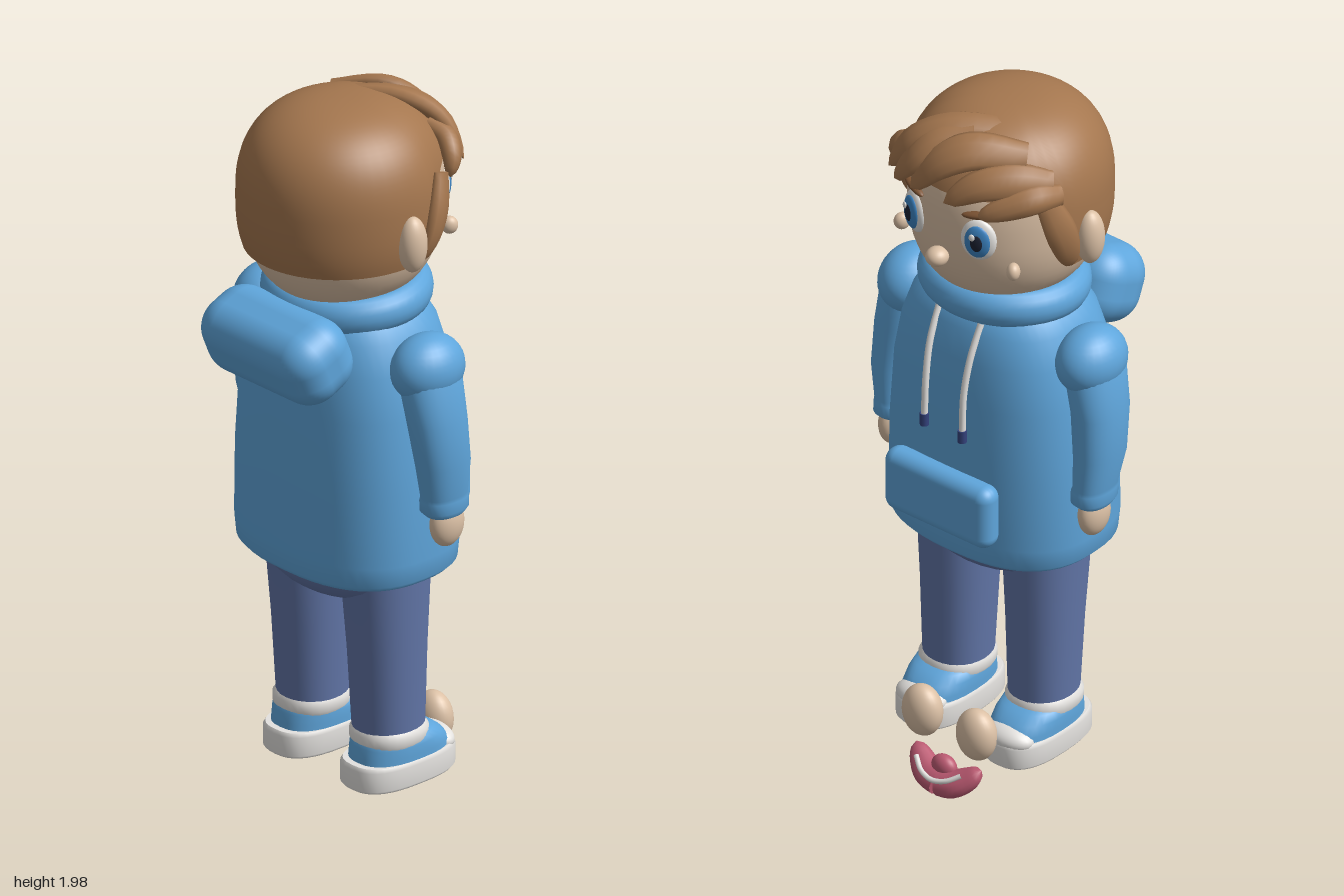
import * as THREE from 'three';
import { RoundedBoxGeometry } from 'three/addons/geometries/RoundedBoxGeometry.js';

const mat = (name, color) => Object.assign(new THREE.MeshStandardMaterial({ color }), { name });
const M = {
  hair: mat('hair brown', 0xa5774f), skin: mat('skin', 0xdcc1a6), blue: mat('hoodie blue', 0x5fa6dc),
  jeans: mat('jeans', 0x6276a8), white: mat('off white', 0xe4e2df), rose: mat('mouth rose', 0xbc5a72),
  navy: mat('navy', 0x34427c), iris: mat('iris blue', 0x3d86c6), dark: mat('pupil', 0x1c2233), brow: mat('brow brown', 0x7d5434),
};
const V = (x, y, z) => new THREE.Vector3(x, y, z);
const spow = (v, e) => Math.sign(v) * Math.abs(v) ** e;

// Closed rings of points joined into a skin with capped ends
function loft(rings) {
  const n = rings[0].length, pts = rings.flat(), idx = [];
  for (let i = 0; i < rings.length - 1; i++) for (let j = 0; j < n; j++) {
    const a = i * n + j, b = i * n + (j + 1) % n;
    idx.push(a, b, a + n, b, b + n, a + n);
  }
  [rings[0], rings[rings.length - 1]].forEach((ring, end) => {
    const base = pts.length, c = V(0, 0, 0);
    ring.forEach(p => c.addScaledVector(p, 1 / n));
    pts.push(c, ...ring);
    for (let j = 0; j < n; j++) {
      const a = base + 1 + j, b = base + 1 + (j + 1) % n;
      end ? idx.push(base, a, b) : idx.push(base, b, a);
    }
  });
  const g = new THREE.BufferGeometry().setFromPoints(pts);
  g.setIndex(idx);
  g.computeVertexNormals();
  return g;
}

// Stack of superellipse rows [y, rx, rz, cx, cz]
const stack = (rows, e = 2, n = 40) => loft(rows.map(([y, rx, rz, cx = 0, cz = 0]) =>
  Array.from({ length: n }, (_, j) => {
    const a = j / n * Math.PI * 2;
    return V(cx + rx * spow(Math.cos(a), 2 / e), y, cz - rz * spow(Math.sin(a), 2 / e));
  })));

// Tapered lock along a curve, lying flat against a body around the centre
function lock(points, width, thick, centre, start = 0.7, n = 10) {
  const curve = new THREE.CatmullRomCurve3(points.map(p => V(...p))), rings = [];
  for (let i = 0; i <= 14; i++) {
    const u = i / 14, p = curve.getPoint(u), t = curve.getTangent(u);
    const nrm = p.clone().sub(centre);
    nrm.addScaledVector(t, -nrm.dot(t)).normalize();
    const side = nrm.clone().cross(t);
    const k = Math.max(0.03, Math.sqrt(Math.max(0, 1 - u ** 3)) * (start + (1 - start) * Math.sin(Math.min(1, u * 2) * Math.PI / 2)));
    rings.push(Array.from({ length: n }, (_, j) => {
      const a = j / n * Math.PI * 2;
      return p.clone().addScaledVector(side, width * k * Math.cos(a)).addScaledVector(nrm, thick * k * Math.sin(a));
    }));
  }
  return loft(rings);
}

// Rounded head surface; low(a) gives the lower edge height at angle a
function headShell(rx, rz, cz, top, bottom, low) {
  const cy = 1.74, K = 26, n = 48, rings = [];
  for (let k = K; k >= 0; k--) rings.push(Array.from({ length: n }, (_, j) => {
    const a = j / n * Math.PI * 2;
    const h = low ? (low(a) - cy) / (low(a) > cy ? top - cy : cy - bottom) : -1;
    const phi = Math.max(0.01, k / K * Math.min(Math.PI - 0.01, Math.acos(spow(h, 1 / 0.8))));
    const c = Math.cos(phi), r = Math.sin(phi) ** 0.8;
    return V(rx * r * Math.cos(a), cy + spow(c, 0.8) * (c > 0 ? top - cy : cy - bottom), cz - rz * r * Math.sin(a));
  }));
  return loft(rings);
}

export function createModel() {
  const root = new THREE.Group();
  const add = (name, geo, m, pos = [0, 0, 0], rot = [0, 0, 0], parent = root) => {
    const mesh = new THREE.Mesh(geo, m);
    mesh.name = name;
    mesh.position.set(...pos);
    mesh.rotation.set(...rot);
    parent.add(mesh);
    return mesh;
  };
  const ball = (name, m, pos, r, rot, parent) =>
    add(name, new THREE.SphereGeometry(1, 28, 18), m, pos, rot, parent).scale.set(...r);

  // Head and hair cap, face towards -z
  add('head', headShell(0.25, 0.267, -0.017, 1.982, 1.45), M.skin);
  add('hairCap', headShell(0.265, 0.277, -0.012, 2.0, 1.45, a =>
    1.605 + 0.235 * THREE.MathUtils.smoothstep(Math.sin(a), 0.18, 0.55)), M.hair);

  // Fringe locks
  const hc = V(0, 1.74, 0);
  [
    [[[-0.1, 1.96, -0.08], [0.04, 1.965, -0.18], [0.13, 1.92, -0.235], [0.2, 1.82, -0.25]], 0.05, 0.028],
    [[[-0.16, 1.935, -0.13], [-0.05, 1.95, -0.215], [0.02, 1.91, -0.265], [0.09, 1.82, -0.295]], 0.055, 0.028],
    [[[-0.225, 1.87, -0.11], [-0.17, 1.89, -0.18], [-0.1, 1.88, -0.245], [-0.02, 1.82, -0.295]], 0.05, 0.026],
    [[[-0.02, 1.965, -0.17], [0.06, 1.945, -0.225], [0.1, 1.89, -0.27], [0.16, 1.81, -0.275]], 0.045, 0.026],
    [[[-0.245, 1.84, -0.1], [-0.22, 1.85, -0.17], [-0.17, 1.83, -0.225], [-0.11, 1.8, -0.27]], 0.04, 0.026],
    [[[0.12, 1.91, -0.2], [0.17, 1.885, -0.215], [0.21, 1.85, -0.2], [0.225, 1.8, -0.18]], 0.038, 0.03],
  ].forEach(([p, w, t]) => add('fringeLock', lock(p, w, t, hc), M.hair));

  for (const s of [1, -1]) {
    // Sideburns, ears and face details
    add('sideburn', lock([[s * 0.235, 1.83, -0.14], [s * 0.255, 1.75, -0.115], [s * 0.26, 1.68, -0.09], [s * 0.25, 1.61, -0.06]], 0.045, 0.022, hc), M.hair);
    ball('ear', M.skin, [s * 0.268, 1.68, -0.01], [0.037, 0.077, 0.04]);
    ball('cheekSpot', M.skin, [s * 0.185, 1.64, -0.215], [0.018, 0.024, 0.022], [0, -s * 0.6, 0]);
    const eye = new THREE.Group();
    eye.name = 'eye';
    eye.position.set(s * 0.105, 1.725, -0.256);
    eye.rotation.y = -s * 0.38;
    root.add(eye);
    ball('eyeWhite', M.white, [0, 0, 0], [0.048, 0.06, 0.02], [0, 0, 0], eye);
    ball('iris', M.iris, [0, 0, -0.012], [0.035, 0.047, 0.013], [0, 0, 0], eye);
    ball('pupil', M.dark, [0, 0, -0.02], [0.018, 0.026, 0.008], [0, 0, 0], eye);
    ball('eyeGlint', M.white, [0.011, 0.018, -0.026], [0.008, 0.01, 0.004], [0, 0, 0], eye);
    ball('eyebrow', M.brow, [0, 0.075, -0.004], [0.045, 0.01, 0.014], [0, 0, s * 0.12], eye);

    // Arms
    ball('shoulder', M.blue, [s * 0.295, 1.335, -0.037], [0.085, 0.092, 0.106]);
    add('sleeve', stack([
      [0.93, 0.04, 0.055, s * 0.33, -0.065], [0.945, 0.05, 0.07, s * 0.328, -0.065], [0.975, 0.05, 0.07, s * 0.328, -0.063],
      [0.985, 0.047, 0.068, s * 0.33, -0.062], [1.08, 0.058, 0.078, s * 0.336, -0.052], [1.2, 0.065, 0.084, s * 0.327, -0.04],
      [1.32, 0.07, 0.088, s * 0.305, -0.035], [1.37, 0.05, 0.06, s * 0.295, -0.035]], 2.2, 28), M.blue);
    ball('hand', M.skin, [s * 0.332, 0.9, -0.07], [0.034, 0.065, 0.052]);
    ball('thumb', M.skin, [s * 0.09, 0.21, -0.247], [0.058, 0.073, 0.046]);

    // Legs and shoes
    add('leg', stack([[0.26, 0.086, 0.094, s * 0.142, -0.043], [0.5, 0.096, 0.103, s * 0.142, -0.038],
      [0.74, 0.109, 0.118, s * 0.142, -0.032]], 2.2, 28), M.jeans);
    add('sockTrim', stack([[0.235, 0.085, 0.095, s * 0.144, -0.043], [0.25, 0.093, 0.101, s * 0.144, -0.043],
      [0.272, 0.093, 0.101, s * 0.144, -0.043], [0.285, 0.084, 0.092, s * 0.144, -0.043]], 2.3, 28), M.white);
    add('shoeUpper', stack([[0.18, 0.09, 0.145, s * 0.145, -0.075], [0.215, 0.09, 0.14, s * 0.145, -0.075],
      [0.24, 0.09, 0.125, s * 0.145, -0.065], [0.26, 0.085, 0.108, s * 0.145, -0.055], [0.27, 0.07, 0.085, s * 0.145, -0.045]], 2.5, 32), M.blue);
    add('sole', stack([[0.13, 0.09, 0.157, s * 0.145, -0.072], [0.138, 0.096, 0.163, s * 0.145, -0.072],
      [0.19, 0.096, 0.163, s * 0.145, -0.072], [0.2, 0.09, 0.157, s * 0.145, -0.072]], 2.7, 36), M.white);
    ball('toeCap', M.white, [s * 0.145, 0.2, -0.185], [0.076, 0.036, 0.048]);

    // Drawstrings
    const cord = new THREE.CatmullRomCurve3([V(s * 0.07, 1.43, -0.205), V(s * 0.067, 1.34, -0.245), V(s * 0.063, 1.24, -0.266), V(s * 0.063, 1.13, -0.272)]);
    add('drawstring', new THREE.TubeGeometry(cord, 20, 0.009, 10), M.white);
    add('drawstringTip', new THREE.CylinderGeometry(0.012, 0.012, 0.035, 12), M.navy, [s * 0.063, 1.118, -0.272]);
  }
  ball('nose', M.skin, [0, 1.65, -0.296], [0.03, 0.026, 0.032]);

  // Hoodie
  add('torso', stack([[0.73, 0.285, 0.215, 0, -0.03], [0.745, 0.3, 0.228, 0, -0.03], [0.8, 0.306, 0.232, 0, -0.03],
    [1.0, 0.304, 0.23, 0, -0.03], [1.2, 0.29, 0.224, 0, -0.03], [1.32, 0.268, 0.212, 0, -0.03],
    [1.4, 0.24, 0.193, 0, -0.03], [1.45, 0.205, 0.165, 0, -0.03], [1.48, 0.15, 0.12, 0, -0.03]], 2.5, 48), M.blue);
  add('collar', new THREE.TorusGeometry(0.185, 0.045, 18, 48), M.blue, [0, 1.468, -0.03], [Math.PI / 2 + 0.06, 0, 0]).scale.set(1, 0.93, 1.15);
  add('hood', new RoundedBoxGeometry(0.43, 0.215, 0.21, 6, 0.085), M.blue, [0, 1.375, 0.212], [0.4, 0, 0]);
  add('pocket', new RoundedBoxGeometry(0.35, 0.18, 0.075, 5, 0.035), M.blue, [0, 0.91, -0.277]);

  // Hips
  ball('hips', M.jeans, [0, 0.76, -0.028], [0.255, 0.142, 0.2]);

  // Mouth: a crescent with tongue and teeth
  const mc = V(0, 0.12, -0.2);
  for (const s of [1, -1]) add('lip', lock([[0, 0.05, -0.285], [s * 0.04, 0.055, -0.28], [s * 0.075, 0.075, -0.265], [s * 0.108, 0.108, -0.25]], 0.032, 0.04, mc, 1, 14), M.rose);
  ball('tongue', M.rose, [0, 0.085, -0.268], [0.038, 0.034, 0.026]);
  const smile = new THREE.CatmullRomCurve3([V(-0.075, 0.098, -0.29), V(-0.04, 0.078, -0.312), V(0, 0.07, -0.32), V(0.04, 0.078, -0.312), V(0.075, 0.098, -0.29)]);
  add('teeth', new THREE.TubeGeometry(smile, 24, 0.007, 8), M.white);
  return root;
}
